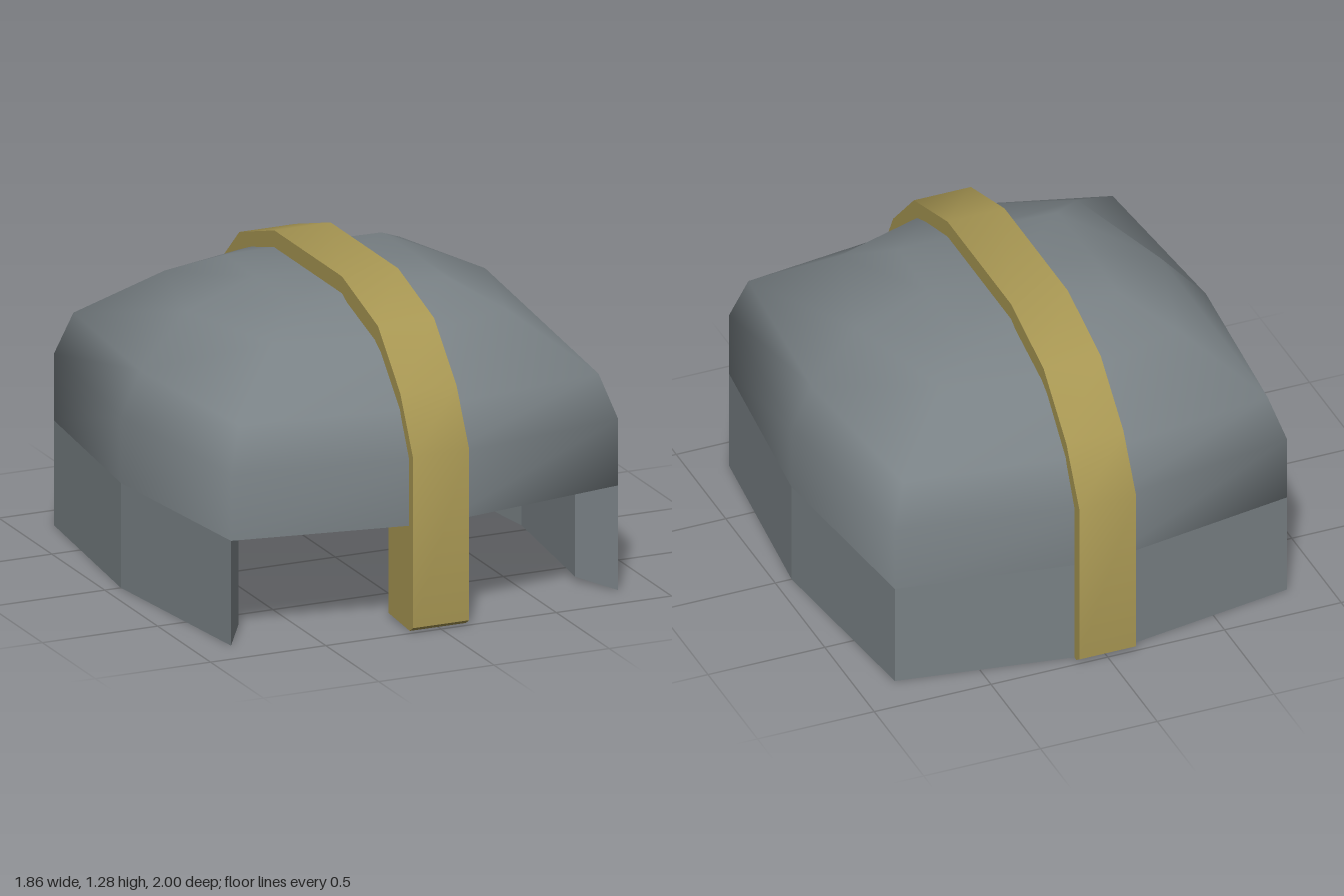
import * as THREE from 'three';
import { toCreasedNormals } from 'three/addons/utils/BufferGeometryUtils.js';

// Eight-sided ring: side reach, corner x, front reach, front corner z, back reach, back corner z
function ring(y, side, cx, front, cf, back, cb) {
  return [[0, front], [cx, cf], [side, 0], [cx, -cb], [0, -back], [-cx, -cb], [-side, 0], [-cx, cf]]
    .map(([x, z]) => new THREE.Vector3(x, y, z));
}

// The same ring drawn inwards to form the lining
const shrink = (points) => points.map((p) => new THREE.Vector3(p.x * 0.87, 0.02 + p.y * 0.862, p.z * 0.8));

// Skin between stacked rings, over the chosen segments
function loft(rings, { segments = [0, 1, 2, 3, 4, 5, 6, 7], flip = false, cap = false, flat = false } = {}) {
  const points = rings.flat();
  const index = [];
  const tri = (a, b, c) => (flip ? index.push(a, c, b) : index.push(a, b, c));
  for (let r = 0; r < rings.length - 1; r++) {
    for (const k of segments) {
      const a = r * 8 + k, b = r * 8 + (k + 1) % 8;
      tri(a, b, b + 8);
      tri(a, b + 8, a + 8);
    }
  }
  if (cap) {
    const top = (rings.length - 1) * 8;
    points.push(new THREE.Vector3(0, rings[rings.length - 1][0].y, 0));
    for (const k of segments) tri(top + k, top + (k + 1) % 8, points.length - 1);
  }
  let geometry = new THREE.BufferGeometry().setFromPoints(points);
  geometry.setIndex(index);
  if (flat) geometry = geometry.toNonIndexed();
  geometry.computeVertexNormals();
  return geometry;
}

export function createModel() {
  const model = new THREE.Group();
  model.name = 'helmet';

  const steel = new THREE.MeshStandardMaterial({ color: 0x7a8286 });
  steel.name = 'steel grey';
  const brass = new THREE.MeshStandardMaterial({ color: 0xa89753 });
  brass.name = 'dull gold';

  const add = (name, geometry, material) => {
    const mesh = new THREE.Mesh(geometry, material);
    mesh.name = name;
    model.add(mesh);
  };

  const outer = (y) => ring(y, 0.93, 0.84, 0.985, 0.845, 0.97, 0.83);
  const foot = outer(0), brow = outer(0.435);
  const innerFoot = shrink(foot), innerBrow = shrink(brow);
  const wall = [1, 2, 3, 4, 5, 6]; // all but the open front
  const face = [7, 0];

  // Rounded crown, outside and lining
  const crown = [
    brow,
    outer(0.71),
    ring(0.89, 0.845, 0.78, 0.895, 0.79, 0.88, 0.775),
    ring(1.11, 0.65, 0.51, 0.68, 0.51, 0.66, 0.5),
    ring(1.21, 0.347, 0.34, 0.335, 0.32, 0.315, 0.305),
  ];
  add('crown', loft(crown, { cap: true }), steel);
  add('crownLining', loft(crown.map(shrink), { cap: true, flip: true }), steel);

  // Straight guard around sides and back
  add('neckGuard', loft([foot, brow], { segments: wall, flat: true }), steel);
  add('neckGuardLining', loft([innerFoot, innerBrow], { segments: wall, flip: true, flat: true }), steel);

  // Thickness of the shell along its open edges
  add('bottomRim', loft([foot, innerFoot], { segments: wall, flip: true, flat: true }), steel);
  add('browRim', loft([brow, innerBrow], { segments: face, flip: true, flat: true }), steel);
  for (const [k, name] of [[1, 'leftCheekEdge'], [7, 'rightCheekEdge']]) {
    const [a, b, c, d] = [foot[k], brow[k], innerBrow[k], innerFoot[k]];
    const corners = k === 1 ? [a, b, c, a, c, d] : [a, c, b, a, d, c];
    const geometry = new THREE.BufferGeometry().setFromPoints(corners);
    geometry.computeVertexNormals();
    add(name, geometry, steel);
  }

  // Raised band from nose guard over the crown to the nape, as a (z, y) profile
  const profile = [
    [0.97, 0], [1, 0.02], [1, 0.73], [0.88, 0.96], [0.67, 1.175], [0.33, 1.28],
    [-0.31, 1.28], [-0.64, 1.175], [-0.87, 0.96], [-1, 0.73], [-1, 0.02], [-0.97, 0],
    [-0.8, 0.012], [-0.8, 0.64], [-0.74, 0.82], [-0.56, 1.03], [-0.28, 1.12],
    [0.3, 1.12], [0.58, 1.03], [0.75, 0.82], [0.77, 0.63], [0.77, 0.015],
  ].map(([z, y]) => new THREE.Vector2(z, y));
  const band = new THREE.ExtrudeGeometry(new THREE.Shape(profile), { depth: 0.244, bevelEnabled: false });
  band.rotateY(-Math.PI / 2);
  band.translate(0.122, 0, 0);
  add('crestBandAndNoseGuard', toCreasedNormals(band, 0.6), brass);

  return model;
}
